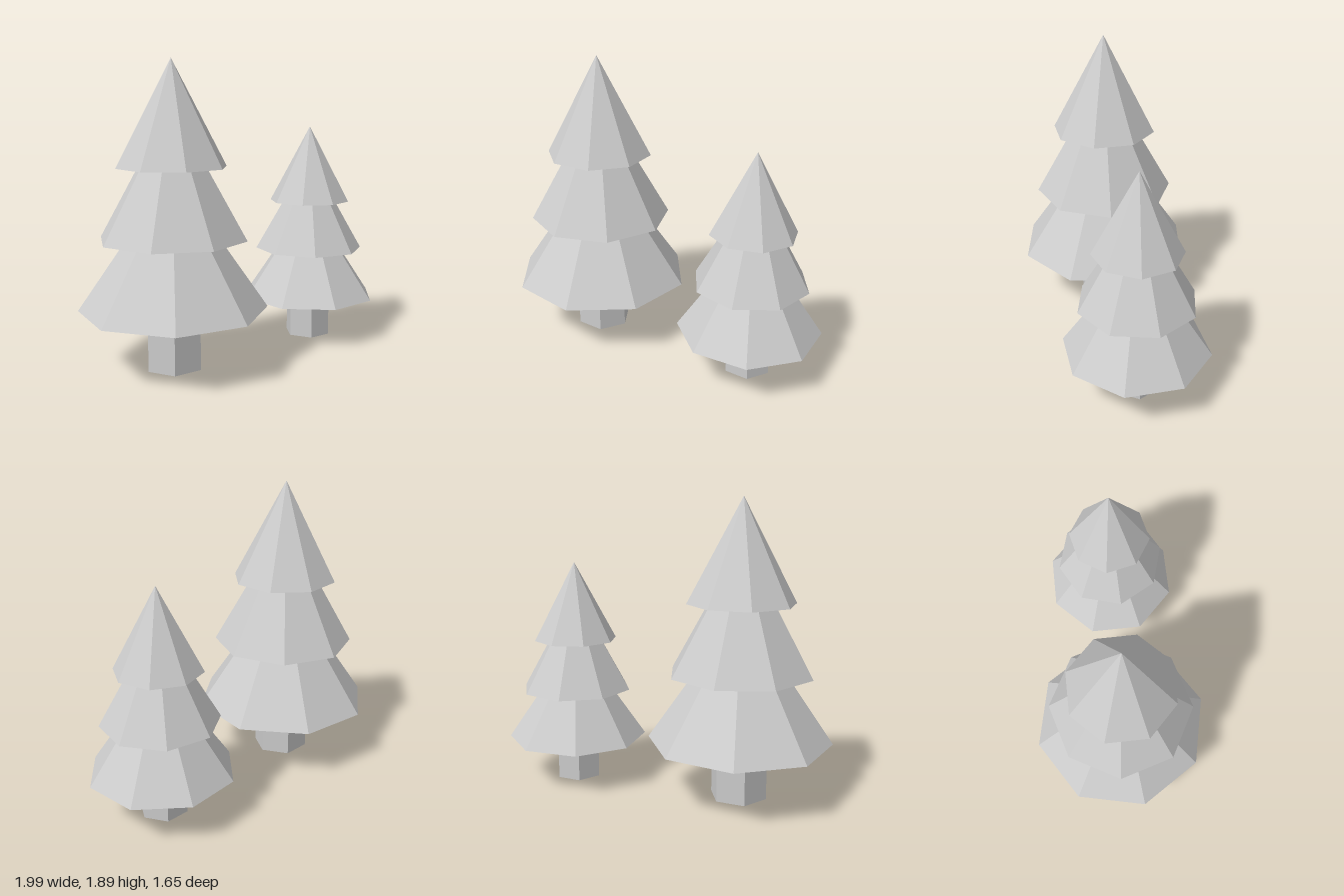
import * as THREE from 'three';

const grey = new THREE.MeshStandardMaterial({ color: 0xcccccc });
grey.name = 'plainGrey';

// Split faces so each one is shaded flat
function faceted(geometry) {
  const g = geometry.toNonIndexed();
  g.computeVertexNormals();
  return g;
}

function addMesh(group, name, geometry) {
  const mesh = new THREE.Mesh(faceted(geometry), grey);
  mesh.name = name;
  group.add(mesh);
}

// Tree: hexagonal trunk and stacked eight-sided cones, each turned a little more
function makeTree(name, { x, z, trunkRadius, turn, tiers }) {
  const tree = new THREE.Group();
  tree.name = name;
  tree.position.set(x, 0, z);

  // Trunk with a hollow underside
  const r = trunkRadius;
  const profile = [
    [0, 0.1], [0.58 * r, 0.07], [0.68 * r, 0.025], [r, 0], [r, tiers[0].y + 0.05],
  ].map(([px, py]) => new THREE.Vector2(px, py));
  addMesh(tree, 'trunk', new THREE.LatheGeometry(profile, 6));

  // Foliage cones, the lower ones running up inside the next
  tiers.forEach(({ y, radius, height }, i) => {
    const cone = new THREE.ConeGeometry(radius, height, 8);
    cone.rotateY(-THREE.MathUtils.degToRad(turn + i * 16.2));
    cone.translate(0, y + height / 2, 0);
    addMesh(tree, 'foliageTier' + (i + 1), cone);
  });
  return tree;
}

export function createModel() {
  const model = new THREE.Group();
  model.name = 'pineTrees';
  model.add(
    makeTree('tallTree', {
      x: -0.415, z: 0.24, trunkRadius: 0.185, turn: 0,
      tiers: [
        { y: 0.37, radius: 0.585, height: 0.85 },
        { y: 0.808, radius: 0.463, height: 0.82 },
        { y: 1.247, radius: 0.344, height: 0.648 },
      ],
    }),
    makeTree('smallTree', {
      x: 0.545, z: -0.38, trunkRadius: 0.156, turn: 32.4,
      tiers: [
        { y: 0.28, radius: 0.459, height: 0.67 },
        { y: 0.614, radius: 0.367, height: 0.645 },
        { y: 0.947, radius: 0.273, height: 0.515 },
      ],
    }),
  );
  return model;
}
